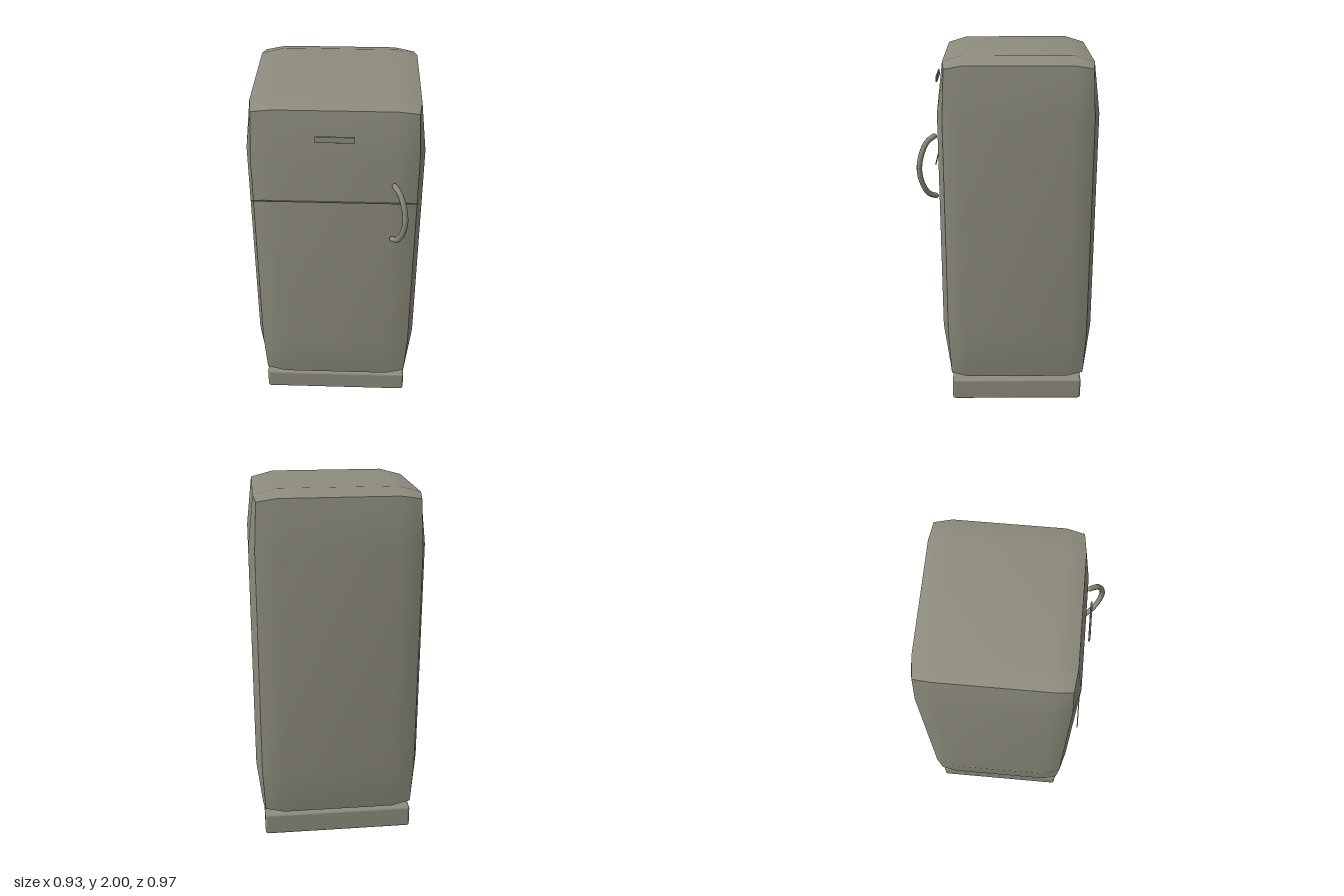
import * as THREE from 'three';
import { RoundedBoxGeometry } from 'three/addons/geometries/RoundedBoxGeometry.js';

// Box of 3 x 3 x 3 cells whose faces swell out between the hard edges.
// Each axis lists half sizes: [inner cell, corner, edge, face].
function bulgedBox(axes) {
  const geometry = new THREE.BoxGeometry(2, 2, 2, 3, 3, 3);
  const pos = geometry.attributes.position;
  for (let i = 0; i < pos.count; i++) {
    const p = [pos.getX(i), pos.getY(i), pos.getZ(i)];
    const outer = p.map((v) => Math.abs(v) > 0.9);
    const count = outer.filter(Boolean).length;
    const q = p.map((v, a) => Math.sign(v) * axes[a][outer[a] ? 4 - count : 0]);
    pos.setXYZ(i, ...q);
  }
  geometry.computeVertexNormals();
  return geometry;
}

export function createModel() {
  const group = new THREE.Group();
  const enamel = new THREE.MeshStandardMaterial({ color: 0x8e8c7d });
  enamel.name = 'greyEnamel';

  const add = (name, geometry, x, y, z, parent = group) => {
    const mesh = new THREE.Mesh(geometry, enamel);
    mesh.name = name;
    mesh.position.set(x, y, z);
    parent.add(mesh);
    return mesh;
  };

  // Swollen cabinet
  add('cabinet', bulgedBox([
    [0.31, 0.42, 0.433, 0.465],
    [0.63, 0.885, 0.903, 0.935],
    [0.287, 0.38, 0.393, 0.4275],
  ]), 0, 1.065, -0.0575);

  // Plinth under the cabinet
  add('plinth', new RoundedBoxGeometry(0.85, 0.13, 0.75, 2, 0.015), 0, 0.065, -0.055);

  // Seam between the two doors, and the small plate above it
  add('doorSeam', new THREE.BoxGeometry(0.875, 0.006, 0.005), 0, 1.456, 0.374);
  add('namePlate', new RoundedBoxGeometry(0.204, 0.035, 0.009, 2, 0.004), 0, 1.834, 0.384);

  // Bowed handle, leaning outwards to the hinge-free side
  const handle = new THREE.Group();
  handle.name = 'handle';
  group.add(handle);
  const path = new THREE.CatmullRomCurve3([
    [0.308, 1.572, 0.388], [0.335, 1.548, 0.425], [0.358, 1.485, 0.455],
    [0.368, 1.404, 0.468],
    [0.358, 1.323, 0.455], [0.335, 1.26, 0.425], [0.308, 1.236, 0.388],
  ].map((p) => new THREE.Vector3(...p)));
  add('handleBar', new THREE.TubeGeometry(path, 24, 0.015, 8), 0, 0, 0, handle);
  for (const t of [0, 1]) {
    const end = path.getPoint(t);
    add('handleEnd', new THREE.SphereGeometry(0.015, 8, 6), end.x, end.y, end.z, handle);
  }

  return group;
}
